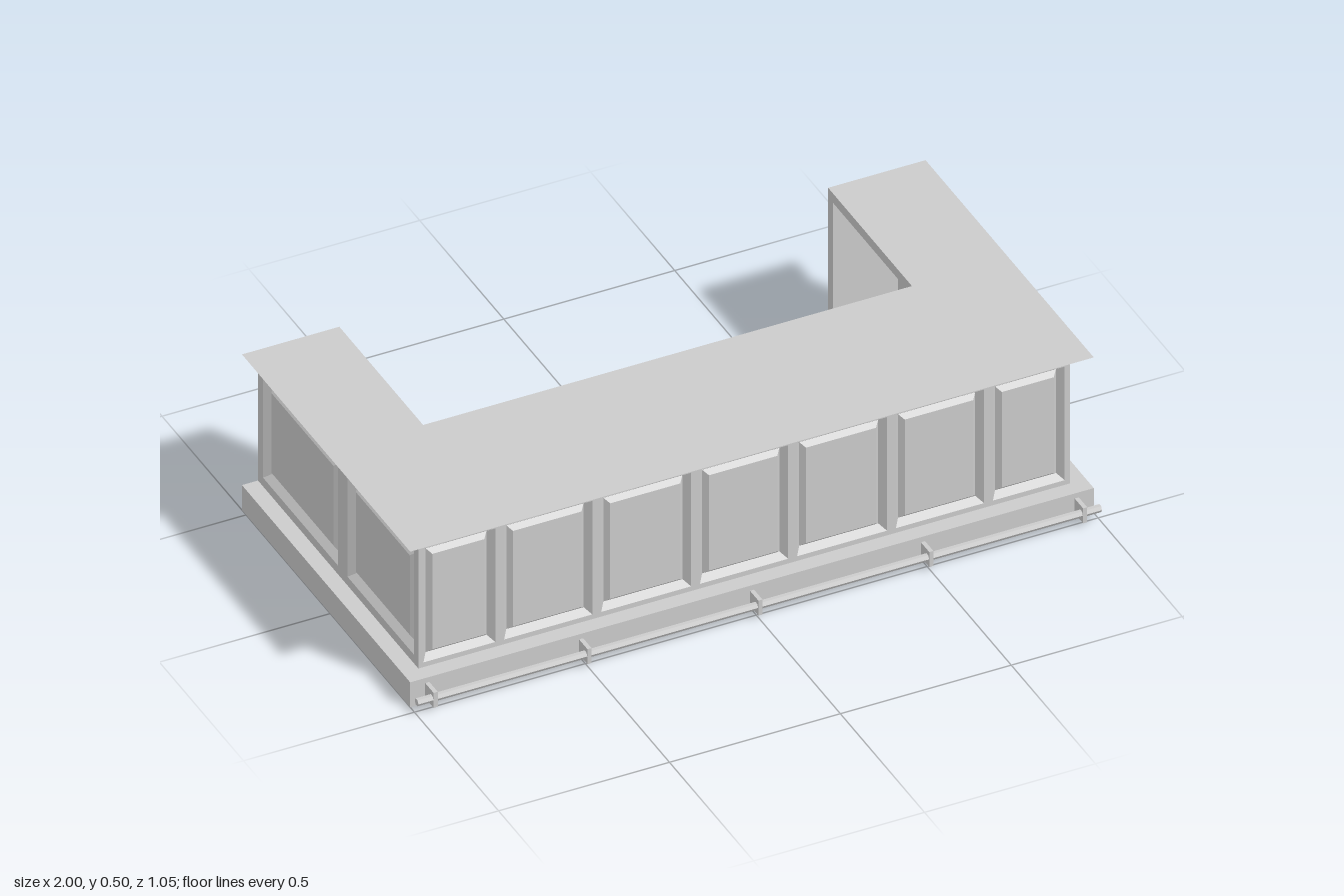
import * as THREE from 'three';

const material = new THREE.MeshStandardMaterial({ color: 0xcccccc, side: THREE.DoubleSide });
const BACK = -0.525, FRONT = 0.475, INNER_X = 0.715, INNER_Z = -0.027;
const HEIGHT = 0.5, BASE = 0.08, NECK = 0.47, INSET = 0.047;

function mesh(name, geometry, parent) {
  const m = new THREE.Mesh(geometry, material);
  m.name = name;
  parent.add(m);
  return m;
}

// Flat-shaded surface from four-cornered faces, corners counter-clockwise
function quads(list) {
  const pos = [];
  for (const [a, b, c, d] of list) for (const p of [a, b, c, a, c, d]) pos.push(...p);
  const g = new THREE.BufferGeometry();
  g.setAttribute('position', new THREE.Float32BufferAttribute(pos, 3));
  g.computeVertexNormals();
  return g;
}

const polygon = (pts) => new THREE.Shape(pts.map(([x, y]) => new THREE.Vector2(x, y)));
const rect = ([x0, x1, y0, y1], i = 0) =>
  [[x0 + i, y0 + i], [x1 - i, y0 + i], [x1 - i, y1 - i], [x0 + i, y1 - i]];

// Outer plan line around the three outer sides, moved inwards by o
const outline = (o) => [[-1 + o, BACK], [-1 + o, FRONT - o], [1 - o, FRONT - o], [1 - o, BACK]];

// Sweep a profile of [inset, y] points around the three outer sides
function sweep(profile) {
  const faces = [];
  for (let i = 0; i < profile.length - 1; i++) {
    const [lo, hi] = [profile[i], profile[i + 1]]
      .map(([o, y]) => outline(o).map(([x, z]) => [x, y, z]));
    for (let k = 0; k < 3; k++) faces.push([lo[k], lo[k + 1], hi[k + 1], hi[k]]);
  }
  return quads(faces);
}

// Wall facing local +z with openings; each opening is stepped along [inset, depth]
function wall(name, partName, bounds, openings, profile) {
  const group = new THREE.Group();
  group.name = name;
  const shape = polygon(rect(bounds));
  shape.holes = openings.map((o) => new THREE.Path(polygon(rect(o).reverse()).getPoints()));
  mesh(name + 'Frame', new THREE.ShapeGeometry(shape), group);
  for (const o of openings) {
    const rings = profile.map(([i, d]) => rect(o, i).map(([x, y]) => [x, y, -d]));
    const faces = [rings[rings.length - 1]];
    for (let r = 0; r < rings.length - 1; r++)
      for (let k = 0; k < 4; k++) {
        const n = (k + 1) % 4;
        faces.push([rings[r][k], rings[r][n], rings[r + 1][n], rings[r + 1][k]]);
      }
    mesh(partName, quads(faces), group);
  }
  return group;
}

export function createModel() {
  const model = new THREE.Group();
  model.name = 'barCounter';

  // Plinth with its ledge, and the flared cornice under the top
  mesh('plinth', sweep([[0, 0], [0, BASE], [INSET, BASE]]), model);
  mesh('cornice', sweep([[INSET, NECK], [0, HEIGHT]]), model);

  // U-shaped counter top and underside
  const plan = [...outline(0), [INNER_X, BACK], [INNER_X, INNER_Z], [-INNER_X, INNER_Z], [-INNER_X, BACK]];
  const top = mesh('counterTop',
    new THREE.ShapeGeometry(polygon(plan.map(([x, z]) => [x, -z]))).rotateX(-Math.PI / 2), model);
  top.position.y = HEIGHT;
  mesh('underside', new THREE.ShapeGeometry(polygon(plan)).rotateX(Math.PI / 2), model);

  // Panelled front
  const half = [[0.155, 0.418], [0.444, 0.702], [0.728, 0.938]];
  const spans = [[-0.129, 0.129], ...half, ...half.map(([a, b]) => [-b, -a])];
  const front = wall('frontWall', 'frontPanel', [-1 + INSET, 1 - INSET, BASE, NECK],
    spans.map(([a, b]) => [a, b, 0.095, 0.46]), [[0, 0], [0.016, 0.02], [0.029, 0.006]]);
  front.position.z = FRONT - INSET;
  model.add(front);

  for (const s of [1, -1]) {
    const side = s > 0 ? 'left' : 'right';
    const span = (a, b, y0, y1) => (s > 0 ? [a, b, y0, y1] : [-b, -a, y0, y1]);

    // Panelled outer side
    const outer = wall(side + 'OuterWall', 'sidePanel', span(-FRONT + INSET, -BACK, BASE, NECK),
      [span(-0.403, -0.007, 0.108, 0.44), span(0.05, 0.495, 0.108, 0.44)],
      [[0, 0], [0.02, 0.02], [0.038, 0.006]]);
    outer.rotation.y = s * Math.PI / 2;
    outer.position.x = s * (1 - INSET);
    model.add(outer);

    // Inner side of the wing with an open shelf niche
    const inner = wall(side + 'InnerWall', 'niche', span(-INNER_Z, -BACK, 0, HEIGHT).map((v) => v),
      [span(-INNER_Z + 0.03, -BACK - 0.03, 0.03, HEIGHT - 0.03)], [[0, 0], [0, 0.19]]);
    inner.position.x = s * INNER_X;
    // The opposite turn needs the span mirrored, which the flip below gives
    inner.rotation.y = s * Math.PI / 2;
    inner.scale.z = -1;
    model.add(inner);

    // End of the wing, cut through plinth, body and cornice
    const end = polygon([[INNER_X, 0], [1, 0], [1, BASE], [1 - INSET, BASE], [1 - INSET, NECK],
      [1, HEIGHT], [INNER_X, HEIGHT]].map(([x, y]) => [s * x, y]));
    const endMesh = mesh(side + 'WingEnd', new THREE.ShapeGeometry(end), model);
    endMesh.rotation.y = Math.PI;
    endMesh.position.z = BACK;
  }

  // Plain wall on the serving side
  const rear = mesh('rearWall', new THREE.PlaneGeometry(2 * INNER_X, HEIGHT), model);
  rear.rotation.y = Math.PI;
  rear.position.set(0, HEIGHT / 2, INNER_Z);

  // Foot rail on brackets
  const rail = mesh('footRail', new THREE.CylinderGeometry(0.011, 0.011, 2, 6).toNonIndexed(), model);
  rail.geometry.computeVertexNormals();
  rail.rotation.z = Math.PI / 2;
  rail.position.set(0, 0.04, 0.513);
  for (const x of [-0.95, -0.5, 0, 0.5, 0.95])
    mesh('railBracket', new THREE.BoxGeometry(0.012, 0.048, 0.05), model).position.set(x, 0.04, 0.5);

  return model;
}
